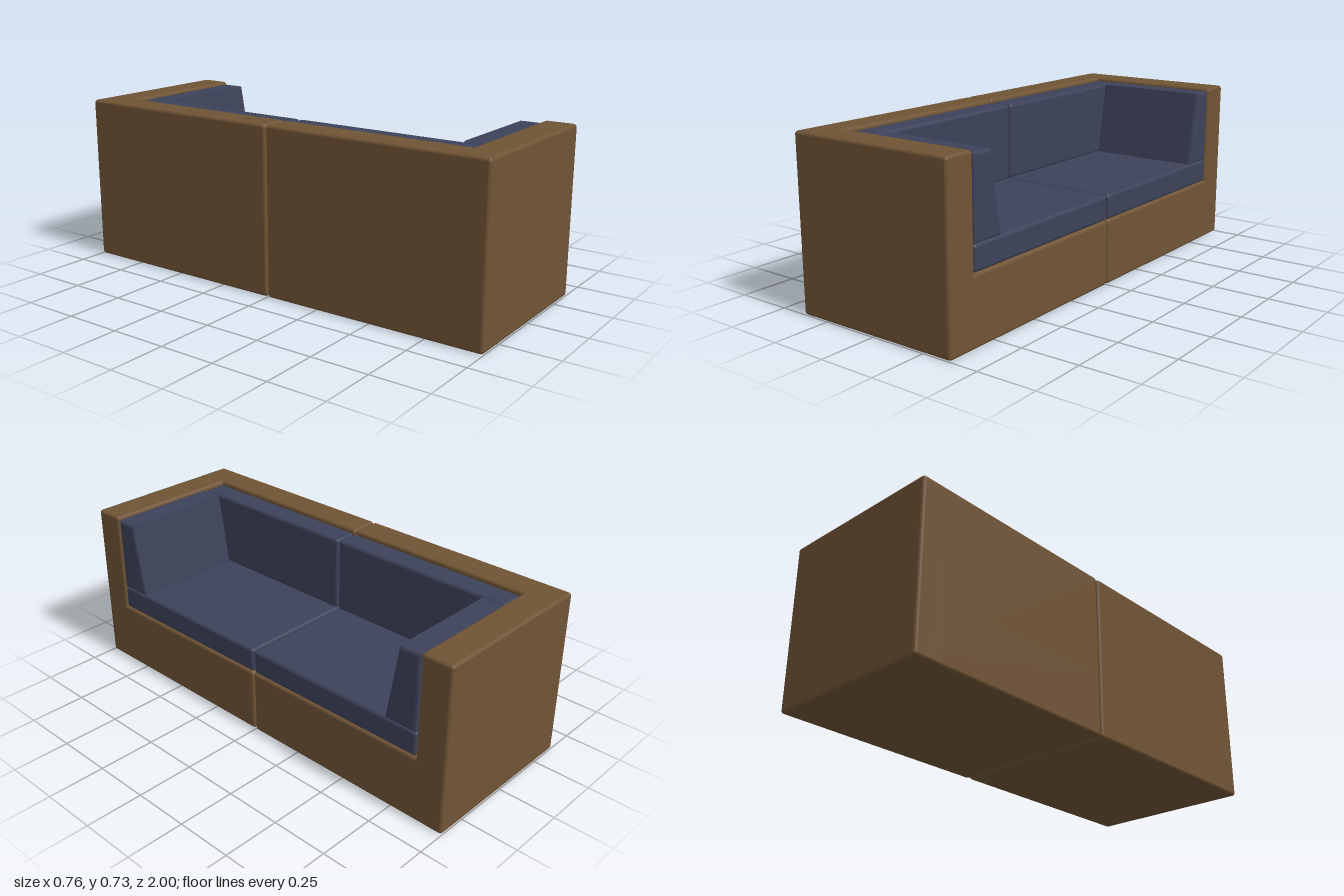
import * as THREE from 'three';
import { RoundedBoxGeometry } from 'three/addons/geometries/RoundedBoxGeometry.js';

const wood = new THREE.MeshStandardMaterial({ color: 0x705435 });
wood.name = 'brown frame';
const fabric = new THREE.MeshStandardMaterial({ color: 0x3d4259 });
fabric.name = 'navy fabric';

// Soft-edged box given by its x, y and z ranges
function box(name, material, [x0, x1], [y0, y1], [z0, z1], radius = 0.014) {
  const geometry = new RoundedBoxGeometry(x1 - x0, y1 - y0, Math.abs(z1 - z0), 2, radius);
  const mesh = new THREE.Mesh(geometry, material);
  mesh.position.set((x0 + x1) / 2, (y0 + y1) / 2, (z0 + z1) / 2);
  mesh.name = name;
  return mesh;
}

// Side cushion: a leaning wedge profile in z and y, extruded along x
function wedge(name, side, x0, x1) {
  const bevel = 0.012;
  const profile = [[0.705, 0.39], [0.857, 0.39], [0.857, 0.72], [0.76, 0.72]];
  const shape = new THREE.Shape(profile.map(([z, y]) => new THREE.Vector2(side * z, y)));
  const geometry = new THREE.ExtrudeGeometry(shape, {
    depth: x1 - x0 - 2 * bevel, bevelEnabled: true, bevelSegments: 2,
    bevelSize: bevel, bevelThickness: bevel, bevelOffset: -bevel,
  });
  geometry.rotateY(-Math.PI / 2);
  geometry.translate(x1 - bevel, 0, 0);
  const mesh = new THREE.Mesh(geometry, fabric);
  mesh.name = name;
  return mesh;
}

// One corner half of the sofa; side = 1 or -1 along z
function sofaHalf(side) {
  const half = new THREE.Group();
  half.name = side > 0 ? 'rightHalf' : 'leftHalf';
  const z = (a, b) => [side * a, side * b];
  half.add(
    // frame
    box('base', wood, [-0.38, 0.38], [0, 0.285], z(0.002, 1)),
    box('backRest', wood, [-0.38, -0.248], [0, 0.733], z(0.002, 1)),
    box('armRest', wood, [-0.38, 0.38], [0, 0.733], z(0.861, 1)),
    // cushions
    box('seatCushion', fabric, [-0.245, 0.377], [0.285, 0.392], z(0.003, 0.858)),
    box('backCushion', fabric, [-0.245, -0.138], [0.388, 0.72], z(0.003, 0.858)),
    wedge('sideCushion', side, -0.138, 0.377),
  );
  return half;
}

export function createModel() {
  const sofa = new THREE.Group();
  sofa.name = 'sofa';
  sofa.add(sofaHalf(1), sofaHalf(-1));
  return sofa;
}
